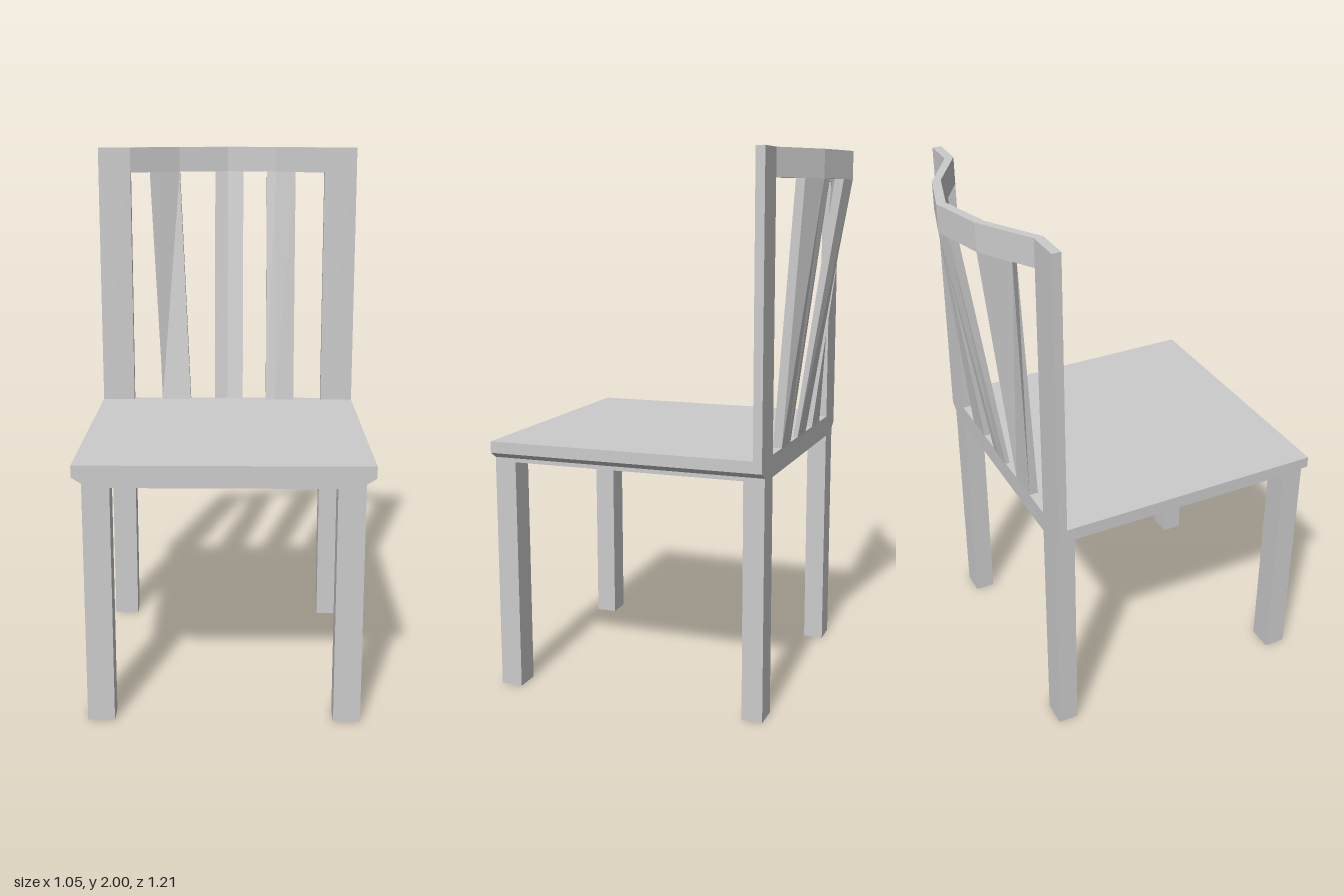
import * as THREE from 'three';

const material = new THREE.MeshStandardMaterial({ color: 0xcccccc, flatShading: true });

function add(group, name, geometry) {
  const mesh = new THREE.Mesh(geometry, material);
  mesh.name = name;
  group.add(mesh);
  return mesh;
}

// box given by its minimum and maximum corners
function box(group, name, [x0, y0, z0], [x1, y1, z1]) {
  const mesh = add(group, name, new THREE.BoxGeometry(x1 - x0, y1 - y0, z1 - z0));
  mesh.position.set((x0 + x1) / 2, (y0 + y1) / 2, (z0 + z1) / 2);
}

// loft between two plan outlines of [x, z], counter-clockwise from above
function loft(bottom, top, y0, y1) {
  const pos = [];
  const n = bottom.length;
  const low = bottom.map(([x, z]) => [x, y0, z]);
  const high = top.map(([x, z]) => [x, y1, z]);
  for (let i = 0; i < n; i++) {
    const j = (i + 1) % n;
    pos.push(...low[i], ...low[j], ...high[j], ...low[i], ...high[j], ...high[i]);
  }
  // end caps, triangulated so bent outlines work
  for (const [ring, flip] of [[low, true], [high, false]]) {
    const flat = ring.map(([x, , z]) => new THREE.Vector2(x, -z));
    for (const [a, b, c] of THREE.ShapeUtils.triangulateShape(flat, [])) {
      pos.push(...ring[a], ...ring[flip ? c : b], ...ring[flip ? b : c]);
    }
  }
  const geometry = new THREE.BufferGeometry();
  geometry.setAttribute('position', new THREE.Float32BufferAttribute(pos, 3));
  geometry.computeVertexNormals();
  return geometry;
}

export function createModel() {
  const chair = new THREE.Group();
  chair.name = 'chair';

  // seat with chamfered lower side edges
  const profile = new THREE.Shape([
    [-0.49, 0.875], [0.49, 0.875], [0.49, 0.89], [0.525, 0.912],
    [0.525, 0.955], [-0.525, 0.955], [-0.525, 0.912], [-0.49, 0.89],
  ].map(([x, y]) => new THREE.Vector2(x, y)));
  const seat = new THREE.ExtrudeGeometry(profile, { depth: 1.04, bevelEnabled: false });
  seat.translate(0, 0, -0.435);
  add(chair, 'seat', seat);

  // legs and back posts
  for (const [side, s] of [['left', 1], ['right', -1]]) {
    const lo = s > 0 ? 0.393 : -0.49;
    const hi = s > 0 ? 0.49 : -0.393;
    box(chair, side + 'FrontLeg', [lo, 0, 0.523], [hi, 0.875, 0.605]);
    box(chair, side + 'BackLeg', [lo, 0, -0.435], [hi, 0.875, -0.358]);
    const px = s > 0 ? 0.395 : -0.525;
    box(chair, side + 'Post', [px, 0.955, -0.435], [px + 0.13, 2, -0.402]);
  }

  // bowed top rail
  const front = [[-0.395, -0.402], [-0.2, -0.52], [0, -0.575], [0.2, -0.52], [0.395, -0.402]];
  const back = [[0.395, -0.435], [0.2, -0.552], [0, -0.608], [-0.2, -0.552], [-0.395, -0.435]];
  add(chair, 'topRail', loft([...front, ...back], [...front, ...back], 1.9, 2));

  // slats leaning back from the seat to the rail
  const slats = {
    rightSlat: [
      [[-0.275, -0.402], [-0.155, -0.402], [-0.155, -0.435], [-0.275, -0.435]],
      [[-0.305, -0.458], [-0.2, -0.52], [-0.2, -0.552], [-0.322, -0.48]],
    ],
    middleSlat: [
      [[-0.053, -0.42], [0, -0.433], [0.065, -0.42], [0.065, -0.436], [0, -0.44], [-0.053, -0.436]],
      [[-0.053, -0.561], [0, -0.575], [0.065, -0.557], [0.065, -0.59], [0, -0.608], [-0.053, -0.593]],
    ],
    leftSlat: [
      [[0.163, -0.402], [0.2, -0.402], [0.28, -0.402], [0.28, -0.435], [0.2, -0.435], [0.163, -0.435]],
      [[0.163, -0.53], [0.2, -0.52], [0.28, -0.472], [0.28, -0.505], [0.2, -0.552], [0.163, -0.562]],
    ],
  };
  for (const [name, [bottom, top]] of Object.entries(slats)) {
    add(chair, name, loft(bottom, top, 0.955, 1.9));
  }

  return chair;
}
